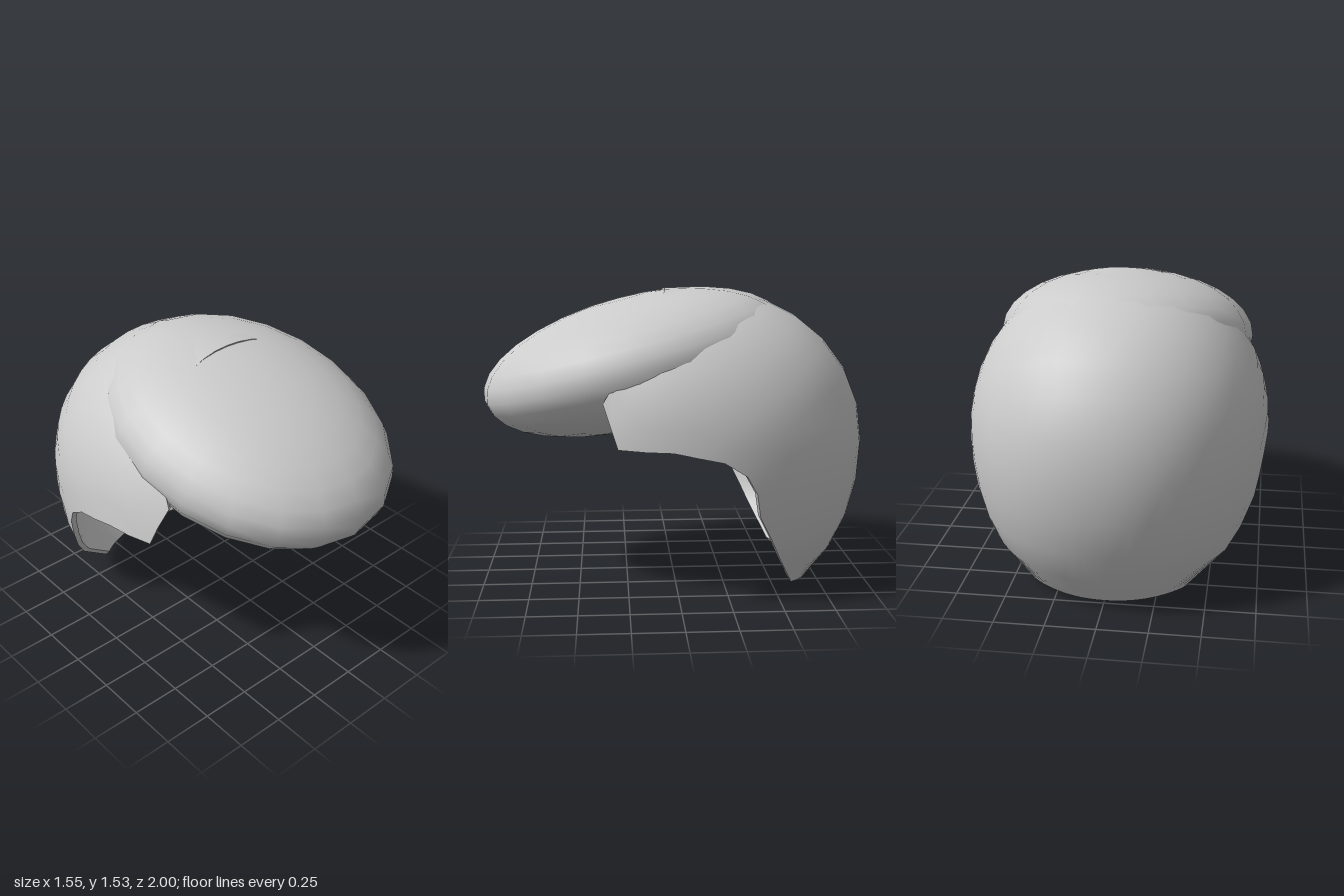
import * as THREE from 'three';
import { mergeGeometries } from 'three/addons/utils/BufferGeometryUtils.js';

const CY = 0.74, CZ = -0.1, P = 2.1, HALF_WIDTH = 0.775;
const ry = (y) => (y > CY ? 0.8 : 0.98);
const rz = (z) => (z > CZ ? 1.02 : 0.9);

// Half width of the rounded head form at a point of the side profile
function widthAt(z, y) {
  const k = 1 - Math.abs((z - CZ) / rz(z)) ** P - Math.abs((y - CY) / ry(y)) ** P;
  return HALF_WIDTH * Math.max(0, k) ** (1 / P);
}

// Centre line of the head form at an angle, measured from the back upwards
function spine(angle) {
  const c = -Math.cos(angle), s = Math.sin(angle);
  const r = (Math.abs(c / rz(CZ + c)) ** P + Math.abs(s / ry(CY + s)) ** P) ** (-1 / P);
  return [CZ + c * r, CY + s * r];
}

// Surface over a grid of points; outward is the row direction x the column direction
function gridGeometry(points, flip = false) {
  const cols = points[0].length, index = [];
  for (let i = 0; i < points.length - 1; i++) {
    for (let j = 0; j < cols - 1; j++) {
      const a = i * cols + j, b = a + 1, c = a + cols, d = c + 1;
      if (flip) index.push(a, b, c, b, d, c);
      else index.push(a, c, b, b, c, d);
    }
  }
  const geometry = new THREE.BufferGeometry().setFromPoints(points.flat());
  geometry.setIndex(index);
  geometry.computeVertexNormals();
  return geometry;
}

// Side hairline as [z, y], from the nape to the tip of the temple
const HAIRLINE = [
  [-0.59, 0.04], [-0.5, 0.22], [-0.45, 0.33], [-0.38, 0.47], [-0.36, 0.59], [-0.31, 0.68],
  [-0.2, 0.75], [-0.08, 0.775], [0.04, 0.8], [0.17, 0.803], [0.3, 0.81], [0.335, 0.915], [0.37, 1.02],
];

function shellGeometry() {
  const rows = HAIRLINE.length - 1, cols = 24;
  const start = -0.862, end = 1.75;
  const outer = HAIRLINE.map(([hz, hy], i) => {
    const [sz, sy] = spine(start + (end - start) * i / rows);
    return Array.from({ length: cols + 1 }, (_, j) => {
      const t = (2 * j) / cols - 1;
      const z = sz + (hz - sz) * t * t, y = sy + (hy - sy) * t * t;
      return new THREE.Vector3(t === 0 ? 0 : Math.sign(t) * widthAt(z, y), y, z);
    });
  });
  const centre = new THREE.Vector3(0, CY, CZ);
  const inset = (p) => p.clone().sub(centre).multiplyScalar(0.965).add(centre);
  const inner = outer.map((row) => row.map(inset));

  // Rim joining the outer and inner skins
  const loop = [
    ...outer[0],
    ...outer.slice(1).map((row) => row[cols]),
    ...outer[rows].slice(0, cols).reverse(),
    ...outer.slice(0, rows).reverse().map((row) => row[0]),
  ];
  const rim = loop.map((p) => [p.clone(), inset(p)]);
  return mergeGeometries([gridGeometry(outer), gridGeometry(inner, true), gridGeometry(rim)]);
}

export function createModel() {
  const group = new THREE.Group();
  group.name = 'hair';
  const material = new THREE.MeshStandardMaterial({ color: 0xcccccc, side: THREE.DoubleSide });

  // Hollow shell covering the back and sides of the head
  const shell = new THREE.Mesh(shellGeometry(), material);
  shell.name = 'backHair';
  group.add(shell);

  // Flattened ellipsoid tilted over the forehead
  const fringe = new THREE.Mesh(new THREE.SphereGeometry(1, 20, 16).scale(0.67, 0.342, 0.822), material);
  fringe.name = 'fringe';
  fringe.position.set(0, 1.15, 0.2);
  fringe.rotation.x = 0.254;
  group.add(fringe);

  return group;
}
